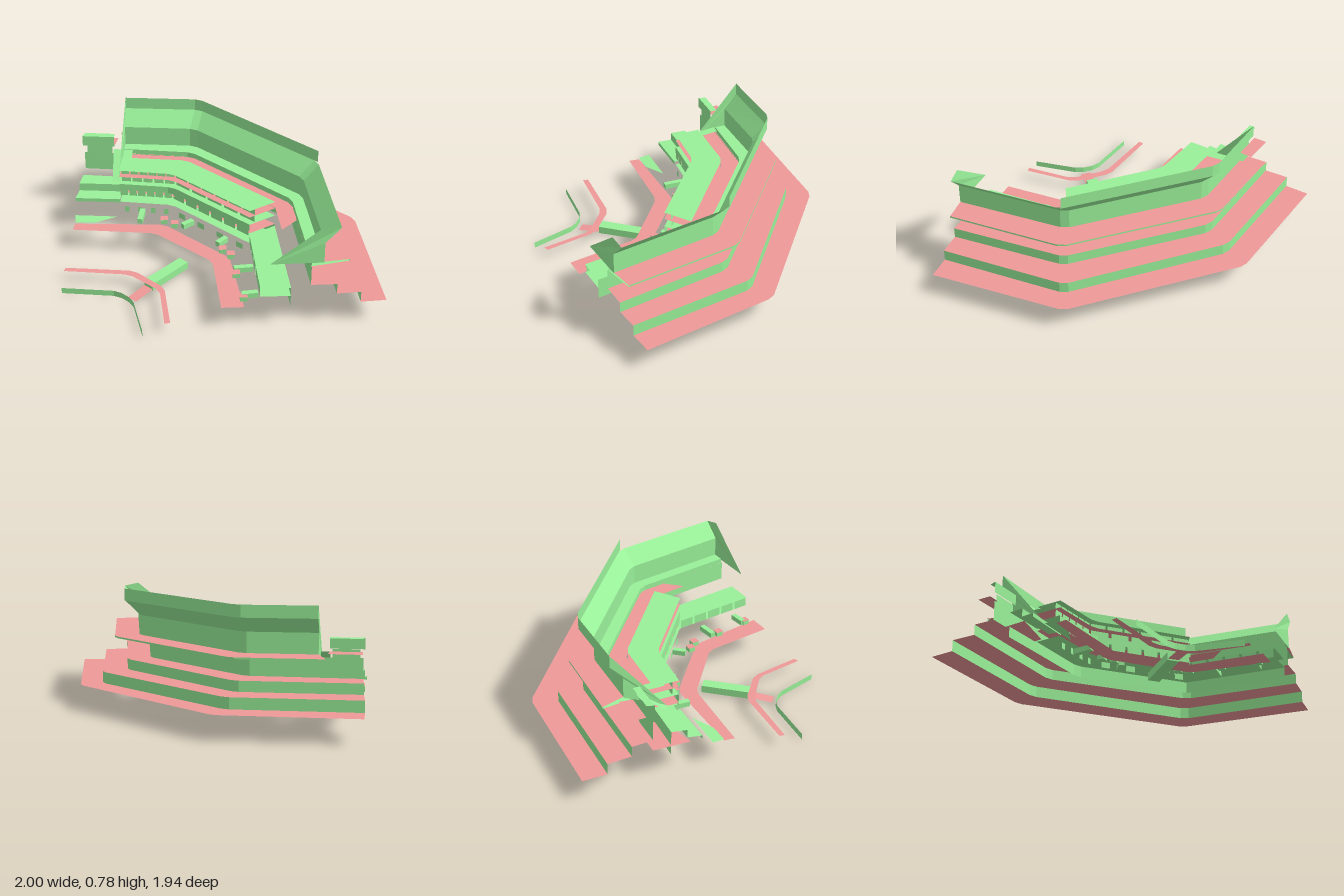
import * as THREE from 'three';

const material = (color) => new THREE.MeshStandardMaterial({ color, side: THREE.DoubleSide, flatShading: true });

export function createModel() {
  const root = new THREE.Group();
  const green = material(0x99f099);
  const red = material(0xf09999);

  const add = (name, geometry, mat) => {
    const mesh = new THREE.Mesh(geometry, mat);
    mesh.name = name;
    root.add(mesh);
    return mesh;
  };

  const surface = (name, positions, mat) => {
    const g = new THREE.BufferGeometry();
    g.setAttribute('position', new THREE.Float32BufferAttribute(positions, 3));
    g.computeVertexNormals();
    return add(name, g, mat);
  };

  // cut the bends of a plan line [x, z] so the corners are slightly eased
  const ease = (line, cut = 0.03) => line.flatMap((p, i) => {
    if (i === 0 || i === line.length - 1) return [p];
    return [line[i - 1], line[i + 1]].map((q) => {
      const t = cut / Math.hypot(q[0] - p[0], q[1] - p[1]);
      return [p[0] + (q[0] - p[0]) * t, p[1] + (q[1] - p[1]) * t];
    });
  });

  // surface between two plan lines, each at its own height
  const ribbon = (name, lineA, yA, lineB, yB, mat) => {
    const a = ease(lineA), b = ease(lineB), pos = [];
    for (let i = 0; i < a.length - 1; i++) {
      const A = [a[i][0], yA, a[i][1]], B = [a[i + 1][0], yA, a[i + 1][1]];
      const C = [b[i + 1][0], yB, b[i + 1][1]], D = [b[i][0], yB, b[i][1]];
      pos.push(...A, ...B, ...C, ...A, ...C, ...D);
    }
    return surface(name, pos, mat);
  };
  const wall = (name, line, y0, y1) => ribbon(name, line, y0, line, y1, green);

  // flat horizontal polygon
  const floor = (name, points, y, mat) => {
    const g = new THREE.ShapeGeometry(new THREE.Shape(points.map(([x, z]) => new THREE.Vector2(x, -z))));
    g.rotateX(-Math.PI / 2).translate(0, y, 0);
    return add(name, g, mat);
  };

  // upright end wall: triangles spreading from one foot
  const fan = (name, foot, rest) => surface(name,
    rest.slice(1).flatMap((p, i) => [...foot, ...rest[i], ...p]), green);

  // box running between two plan points
  const beam = (name, [x0, z0], [x1, z1], y0, y1, width, mat) => {
    const m = add(name, new THREE.BoxGeometry(Math.hypot(x1 - x0, z1 - z0), y1 - y0, width), mat);
    m.position.set((x0 + x1) / 2, (y0 + y1) / 2, (z0 + z1) / 2);
    m.rotation.y = -Math.atan2(z1 - z0, x1 - x0);
  };

  // small panels spaced along a plan line
  const panels = (name, line, y0, y1, perSide, share) => {
    for (let i = 0; i < line.length - 1; i++) {
      const [p, q] = [line[i], line[i + 1]];
      const at = (t) => [p[0] + (q[0] - p[0]) * t, p[1] + (q[1] - p[1]) * t];
      for (let k = 0; k < perSide; k++) {
        wall(name, [at((k + 0.5 - share / 2) / perSide), at((k + 0.5 + share / 2) / perSide)], y0, y1);
      }
    }
  };

  // Plan lines of the outer terraces, from the outside in
  const rim = [[-0.83, -0.97], [0.06, -0.86], [0.93, -0.01], [1.0, 0.89]];
  const step1 = [[-0.85, -0.81], [-0.01, -0.71], [0.79, 0.06], [0.84, 0.9]];
  const step2 = [[-0.86, -0.65], [-0.07, -0.56], [0.63, 0.145], [0.69, 0.91]];
  const step3 = [[-0.87, -0.51], [-0.14, -0.41], [0.48, 0.21], [0.53, 0.91]];
  const deckEdge = [[-0.62, -0.71], [-0.04, -0.64], [0.71, 0.11], [0.76, 0.88]];
  const deckInner = [[-0.6, -0.48], [-0.14, -0.41], [0.48, 0.21], [0.53, 0.9]];
  const backWall = [[-0.59, -0.55], [-0.12, -0.5], [0.55, 0.17], [0.605, 0.9]];
  const crown = [[-0.58, -0.635], [-0.08, -0.585], [0.645, 0.14], [0.7, 0.89]];

  // Outer terraces
  ribbon('lowerTerrace', rim, 0.16, step1, 0.16, red);
  wall('lowerRiser', step1, 0.16, 0.235);
  ribbon('middleTerrace', step1, 0.235, step2, 0.235, red);
  wall('middleRiser', step2, 0.235, 0.305);
  ribbon('upperTerrace', step2, 0.305, step3, 0.305, red);
  wall('upperRiser', step3, 0.305, 0.435);

  // Overhanging deck with a sloping underside, gallery and flared back wall
  ribbon('deck', deckEdge, 0.466, backWall, 0.466, red);
  wall('deckFascia', deckEdge, 0.455, 0.466);
  ribbon('deckUnderside', deckEdge, 0.455, deckInner, 0.435, green);
  ribbon('gallery', deckInner, 0.468, backWall, 0.468, green);
  wall('galleryFront', deckInner, 0.435, 0.468);
  wall('backWall', backWall, 0.466, 0.6);
  ribbon('flaredWall', backWall, 0.6, crown, 0.7, green);
  wall('parapet', crown.slice(0, 3), 0.7, 0.78);
  floor('innerDeck', [...deckInner.slice(0, 3), [0.5, 0.39], [0.39, 0.5], [0.37, 0.25], [-0.18, -0.29], [-0.61, -0.35]], 0.432, red);
  fan('rightEndWall', [-0.64, 0.34, -0.28],
    [[-0.59, 0.46, -0.55], [-0.59, 0.6, -0.55], [-0.58, 0.7, -0.635], [-0.58, 0.78, -0.635]]);
  fan('leftEndWall', [0.28, 0.46, 0.905],
    [[0.605, 0.46, 0.9], [0.605, 0.6, 0.9], [0.7, 0.7, 0.89], [0.605, 0.72, 0.9]]);

  // Inner building: two tall wings with stacked floors
  const front = [[-0.63, -0.18], [-0.28, -0.12], [0.2, 0.35]];
  const setback = [[-0.62, -0.22], [-0.26, -0.16], [0.24, 0.325]];
  const rear = [[-0.61, -0.35], [-0.18, -0.29], [0.37, 0.25]];
  ribbon('groundFloor', front, 0.235, rear, 0.235, green);
  ribbon('firstFloor', front, 0.31, rear, 0.31, red);
  ribbon('balcony', front, 0.375, rear, 0.375, green);
  ribbon('topFloor', front, 0.43, rear, 0.43, red);
  ribbon('roof', front, 0.478, rear, 0.478, green);
  wall('rearWall', rear, 0.16, 0.31);
  wall('parapetBand', front, 0.33, 0.375);
  panels('groundPanel', front, 0.16, 0.2, 4, 0.35);
  panels('firstPanel', front, 0.29, 0.33, 6, 0.85);
  panels('secondPanel', setback, 0.375, 0.43, 5, 0.85);
  panels('topPanel', setback, 0.43, 0.478, 6, 0.88);

  // Low wing on the left
  const lowFront = [[0.2, 0.35], [0.225, 0.92]];
  const lowRear = [[0.37, 0.25], [0.41, 0.92]];
  ribbon('lowWingRoof', lowFront, 0.295, lowRear, 0.295, green);
  ribbon('lowWingFloor', lowFront, 0.235, lowRear, 0.235, green);
  wall('lowWingRear', lowRear, 0.16, 0.295);
  panels('lowWingPanel', lowFront, 0.235, 0.295, 5, 0.85);

  // Side wing beyond the right end
  const sideFront = [[-0.93, -0.2], [-0.63, -0.17]];
  const sideMiddle = [[-0.905, -0.29], [-0.62, -0.26]];
  const sideRear = [[-0.88, -0.39], [-0.61, -0.35]];
  floor('sideFloor', [[-0.87, -0.51], [-0.6, -0.48], [-0.64, -0.3], [-0.91, -0.27]], 0.23, red);
  ribbon('sideLowerRoof', sideFront, 0.26, sideMiddle, 0.265, green);
  wall('sideStep', sideMiddle, 0.265, 0.32);
  ribbon('sideUpperRoof', sideMiddle, 0.32, sideRear, 0.325, green);
  wall('sideFront', sideFront, 0.235, 0.26);
  wall('sideRear', sideRear, 0.16, 0.325);

  // Canopy hut and stairs
  const canopyBack = [[-0.86, -0.55], [-0.66, -0.525]], canopyFront = [[-0.88, -0.505], [-0.665, -0.48]];
  const hutWall = [[-0.85, -0.51], [-0.68, -0.49]];
  ribbon('canopy', canopyBack, 0.562, canopyFront, 0.562, green);
  wall('canopyFascia', canopyFront, 0.49, 0.562);
  wall('hutWall', hutWall, 0.31, 0.49);
  ribbon('hutLanding', [[-0.85, -0.64], [-0.64, -0.61]], 0.48, canopyBack, 0.48, red);
  ribbon('stairs', [[-0.67, -0.48], [-0.61, -0.47]], 0.47, [[-0.68, -0.29], [-0.62, -0.28]], 0.33, green);
  ribbon('stairLanding', [[-0.6, -0.47], [-0.54, -0.46]], 0.47, [[-0.61, -0.27], [-0.55, -0.26]], 0.46, green);

  // Front apron, its linking bridges and its kiosks
  const apronFront = [[-0.945, 0.03], [-0.4, 0.1], [-0.04, 0.44], [-0.01, 0.92]];
  const apronRear = [[-0.93, -0.04], [-0.34, 0.0], [0.07, 0.4], [0.13, 0.92]];
  ribbon('apron', apronFront, 0.16, apronRear, 0.16, red);
  const bridges = [[[-0.5, -0.02], [-0.48, -0.15]], [[-0.22, 0.05], [-0.15, 0.0]], [[0.0, 0.27], [0.06, 0.21]],
    [[0.09, 0.55], [0.21, 0.54]], [[0.12, 0.82], [0.22, 0.81]]];
  bridges.forEach(([p, q]) => beam('bridge', p, q, 0.16, 0.195, 0.035, green));
  [[-0.34, -0.03], [-0.27, 0.02], [0.03, 0.33], [0.08, 0.39], [0.1, 0.6], [0.13, 0.84]].forEach(([x, z]) => {
    beam('kiosk', [x - 0.022, z], [x + 0.022, z], 0.16, 0.19, 0.045, green);
    floor('kioskRoof', [[x - 0.025, z - 0.025], [x + 0.025, z - 0.025], [x + 0.025, z + 0.025], [x - 0.025, z + 0.025]], 0.192, red);
  });
  ribbon('sidePlatform', [[-0.93, -0.04], [-0.8, -0.03]], 0.17, [[-0.93, -0.12], [-0.65, -0.09]], 0.175, green);

  // Front walkway: raised strip, a low wall ahead of it and the ramp between
  const pathOuter = [[-0.99, 0.38], [-0.57, 0.44], [-0.38, 0.62], [-0.355, 0.955]];
  const pathInner = [[-0.98, 0.345], [-0.54, 0.4], [-0.35, 0.59], [-0.32, 0.945]];
  ribbon('walkwayStrip', pathOuter, 0.078, pathInner, 0.078, red);
  wall('lowWall', [[-1.0, 0.51], [-0.64, 0.56], [-0.55, 0.65], [-0.49, 0.97]], 0, 0.04);
  ribbon('rampLanding', [[-0.58, 0.58], [-0.53, 0.63]], 0.005, [[-0.47, 0.47], [-0.42, 0.52]], 0.02, red);
  beam('ramp', [-0.45, 0.5], [-0.22, 0.27], 0.01, 0.06, 0.075, green);

  return root;
}
